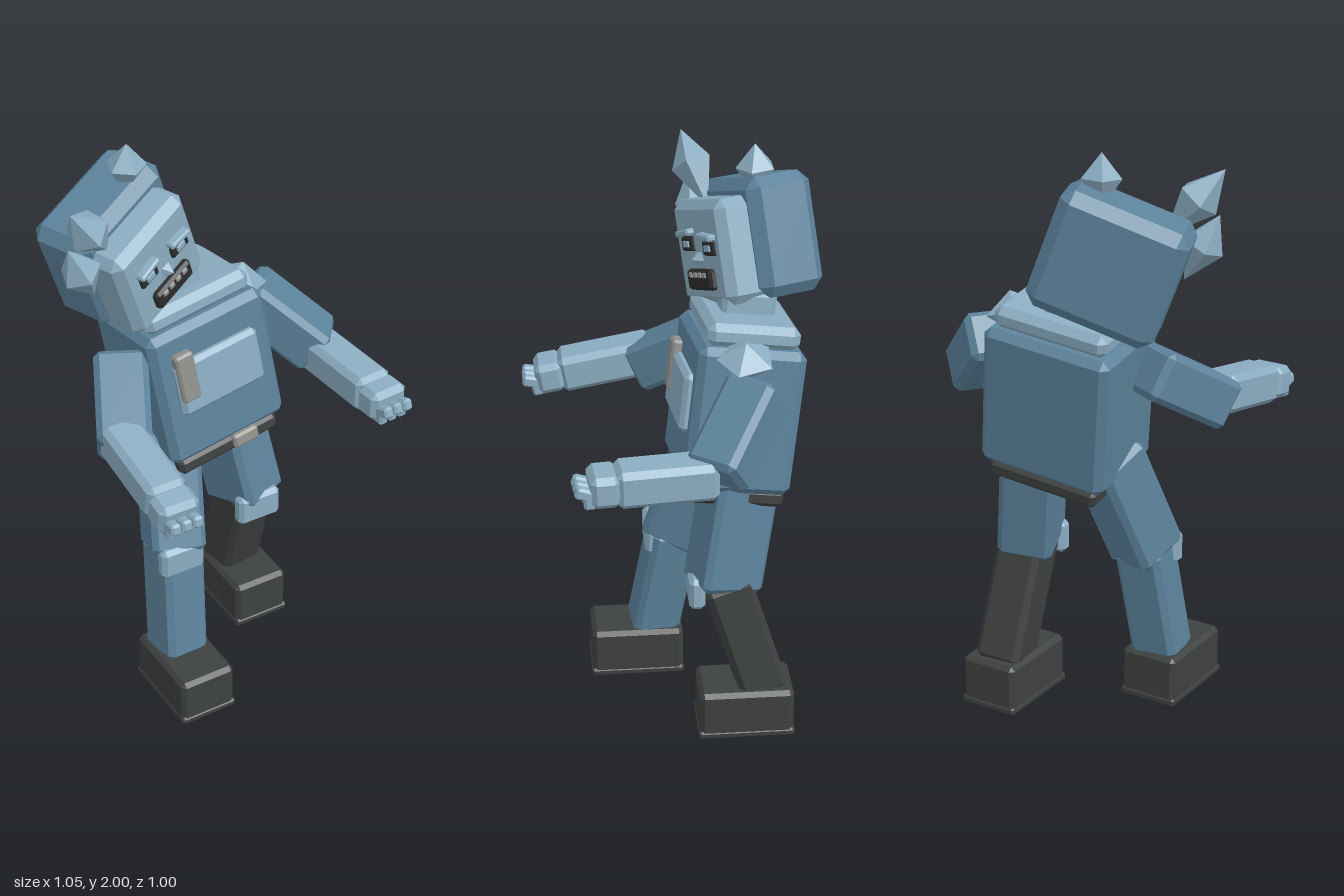
import * as THREE from 'three';
import { ConvexGeometry } from 'three/addons/geometries/ConvexGeometry.js';

const V = (x, y, z) => new THREE.Vector3(x, y, z);
const UP = V(0, 1, 0);

function paint(name, color) {
  const m = new THREE.MeshStandardMaterial({ color });
  m.name = name;
  return m;
}

// Box with chamfered edges and corners
function chamferBox(w, h, d, c) {
  const pts = [];
  const [x, y, z] = [w / 2, h / 2, d / 2];
  for (const i of [-1, 1]) for (const j of [-1, 1]) for (const k of [-1, 1]) {
    pts.push(V(i * x, j * (y - c), k * (z - c)));
    pts.push(V(i * (x - c), j * y, k * (z - c)));
    pts.push(V(i * (x - c), j * (y - c), k * z));
  }
  return new ConvexGeometry(pts);
}

function box(parent, name, mat, size, pos, c = 0.015) {
  const m = new THREE.Mesh(chamferBox(...size, Math.min(c, Math.min(...size) * 0.3)), mat);
  m.name = name;
  m.position.set(...pos);
  parent.add(m);
  return m;
}

// Chamfered box stretched from a to b, its local z turned toward a hint direction
function limb(parent, name, mat, a, b, w, d, hint) {
  const top = V(...a), bottom = V(...b);
  const m = box(parent, name, mat, [w, top.distanceTo(bottom), d], [0, 0, 0], 0.02);
  const y = top.clone().sub(bottom).normalize();
  const x = y.clone().cross(hint).normalize();
  m.quaternion.setFromRotationMatrix(new THREE.Matrix4().makeBasis(x, y, x.clone().cross(y)));
  m.position.copy(top).add(bottom).multiplyScalar(0.5);
}

// Five-sided crystal: a ring with one tip above and one below
function spike(parent, name, mat, pos, axis, r, tip, tail) {
  const pts = [V(0, tip, 0), V(0, -tail, 0)];
  for (let i = 0; i < 5; i++) {
    const t = (i / 5) * Math.PI * 2;
    pts.push(V(Math.sin(t) * r, 0, Math.cos(t) * r));
  }
  const m = new THREE.Mesh(new ConvexGeometry(pts), mat);
  m.name = name;
  m.position.set(...pos);
  m.quaternion.setFromUnitVectors(UP, V(...axis).normalize());
  parent.add(m);
}

export function createModel() {
  const blue = paint('steelBlue', 0x5c839c);
  const light = paint('paleBlue', 0x8badc2);
  const dark = paint('charcoal', 0x3d413f);
  const black = paint('mouthBlack', 0x2c2d2e);
  const grey = paint('warmGrey', 0x91918d);

  const model = new THREE.Group();
  model.name = 'figure';

  // Torso with collar, belt and chest plate
  const torso = new THREE.Group();
  torso.name = 'torso';
  torso.position.set(-0.015, 1.152, -0.202);
  torso.rotation.set(-0.13, 0.05, 0.13);
  model.add(torso);
  box(torso, 'body', blue, [0.46, 0.5, 0.36], [0, 0, 0], 0.025);
  box(torso, 'collar', light, [0.41, 0.08, 0.31], [0, 0.285, 0], 0.025);
  box(torso, 'neck', light, [0.2, 0.1, 0.18], [-0.04, 0.35, 0]);
  box(torso, 'belt', dark, [0.4, 0.06, 0.34], [-0.005, -0.272, 0]);
  box(torso, 'buckle', grey, [0.1, 0.05, 0.03], [0.055, -0.265, 0.172], 0.008);
  box(torso, 'chestPlate', light, [0.33, 0.2, 0.05], [0, 0.035, 0.182]);
  box(torso, 'chestClip', grey, [0.07, 0.18, 0.04], [-0.125, 0.082, 0.194], 0.008);

  // Head, turned and tilted
  const head = new THREE.Group();
  head.name = 'head';
  head.position.set(-0.25, 1.66, -0.31);
  head.rotation.set(0, 0.37, 0.35, 'YXZ');
  model.add(head);
  box(head, 'hood', blue, [0.43, 0.4, 0.235], [0, 0, 0], 0.038);
  box(head, 'face', light, [0.365, 0.35, 0.24], [-0.012, -0.028, 0.105], 0.03);
  for (const s of [-1, 1]) {
    const x = -0.003 + s * 0.079;
    const y = s < 0 ? 0.004 : -0.01;
    box(head, 'eye', black, [0.085, 0.05, 0.02], [x, y, 0.226], 0.006);
    box(head, 'pupil', light, [0.04, 0.022, 0.008], [x, y, 0.238], 0.002);
    const brow = box(head, 'brow', light, [0.095, 0.022, 0.035], [x, y + 0.038, 0.236], 0.006);
    brow.rotation.z = -s * 0.1;
  }
  spike(head, 'nose', light, [-0.007, -0.045, 0.231], [0, 0, 1], 0.028, 0.03, 0.02);
  box(head, 'mouth', black, [0.18, 0.07, 0.035], [-0.004, -0.115, 0.231], 0.01);
  for (let i = 0; i < 4; i++)
    box(head, 'tooth', grey, [0.024, 0.018, 0.01], [-0.055 + i * 0.034, -0.098, 0.249], 0.003);

  // Crystals on head and shoulder
  spike(model, 'topHorn', light, [-0.195, 1.92, -0.285], [0, 1, 0.05], 0.068, 0.08, 0.11);
  spike(model, 'upperSideHorn', light, [-0.437, 1.845, -0.1], [-0.6, 0.78, 0.28], 0.074, 0.128, 0.16);
  spike(model, 'lowerSideHorn', light, [-0.462, 1.7, -0.11], [-0.42, 0.88, 0.15], 0.07, 0.115, 0.13);
  spike(model, 'shoulderSpike', light, [0.185, 1.41, -0.215], [0.3, 1, 0], 0.1, 0.06, 0.1);

  // Arms: upper arm, then forearm, hand and fingers along local z
  const arms = [
    { side: 'right', shoulder: [-0.3, 1.275, -0.17], end: [-0.427, 1.11, 0.085],
      elbow: [-0.43, 1.155, 0.04], wrist: [-0.43, 1.095, 0.37] },
    { side: 'left', shoulder: [0.235, 1.325, -0.255], end: [0.44, 1.115, -0.095],
      elbow: [0.425, 1.115, -0.1], wrist: [0.452, 1.11, 0.23] },
  ];
  for (const a of arms) {
    limb(model, a.side + 'UpperArm', blue, a.shoulder, a.end, 0.18, 0.17, UP);
    const fore = new THREE.Group();
    fore.name = a.side + 'Forearm';
    fore.position.set(...a.elbow);
    fore.lookAt(...a.wrist);
    model.add(fore);
    const L = V(...a.elbow).distanceTo(V(...a.wrist));
    box(fore, 'forearm', light, [0.14, 0.13, L], [0, 0, L / 2], 0.02);
    box(fore, 'hand', light, [0.145, 0.11, 0.1], [0, 0, L + 0.035], 0.02);
    for (const i of [-1, 0, 1]) {
      const finger = box(fore, 'finger', light, [0.036, 0.04, 0.075], [i * 0.04, -0.005, L + 0.095], 0.008);
      finger.rotation.x = -0.35;
      box(fore, 'knuckle', light, [0.034, 0.06, 0.04], [i * 0.04, -0.028, L + 0.085], 0.008);
    }
  }

  // Legs: thigh, knee pad, shin and boot
  const legs = [
    { side: 'right', hip: [-0.135, 0.95, -0.165], knee: [-0.205, 0.55, 0.0], depth: 0.2, yaw: -0.26, shin: blue,
      shinTop: [-0.2, 0.58, -0.015], ankle: [-0.232, 0.15, 0.062], pad: [-0.213, 0.557, 0.064], foot: [-0.232, 0.12] },
    { side: 'left', hip: [0.11, 0.95, -0.215], knee: [0.175, 0.55, -0.148], depth: 0.225, yaw: 0.35, shin: dark,
      shinTop: [0.175, 0.58, -0.155], ankle: [0.193, 0.15, -0.29], pad: [0.168, 0.552, -0.058], foot: [0.197, -0.228] },
  ];
  for (const l of legs) {
    const front = V(Math.sin(l.yaw), 0, Math.cos(l.yaw));
    limb(model, l.side + 'Thigh', blue, l.hip, l.knee, 0.19, l.depth, front);
    limb(model, l.side + 'Shin', l.shin, l.shinTop, l.ankle, 0.165, 0.165, V(0.1, 0, 1));
    box(model, l.side + 'KneePad', light, [0.165, 0.115, 0.055], l.pad);
    const [x, z] = l.foot;
    box(model, l.side + 'Boot', dark, [0.208, 0.17, 0.326], [x, 0.095, z], 0.015);
    box(model, l.side + 'Sole', dark, [0.214, 0.03, 0.334], [x, 0.015, z], 0.008);
  }
  return model;
}
